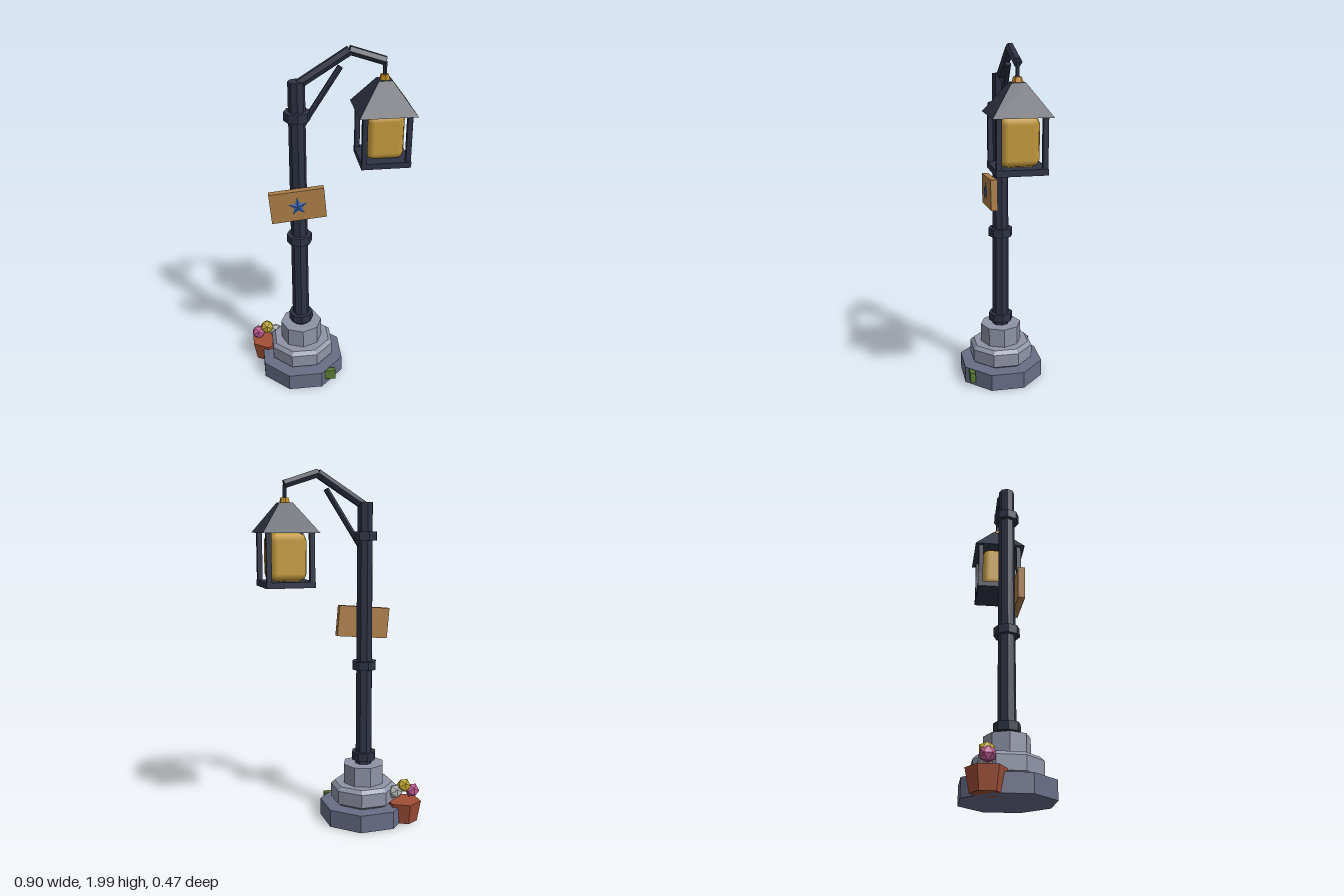
import * as THREE from 'three';
import { RoundedBoxGeometry } from 'three/addons/geometries/RoundedBoxGeometry.js';

const material = (color, flatShading = true) => new THREE.MeshStandardMaterial({ color, flatShading });
const IRON = material(0x2e3344);
const ROOF = material(0x333848);
const BASE_STONE = material(0x686e86);
const STONE = material(0x8f94a6);
const GOLD = material(0xc08a22);
const GLASS = material(0xc49a3c, false);
const WOOD = material(0xad7e48);
const BLUE = material(0x3560ae);
const CLAY = material(0xa04e36);
const MOSS = material(0x587a34);

const POST_X = -0.157;
const LANTERN_X = 0.299;

function add(parent, name, geometry, mat, x = 0, y = 0, z = 0) {
  const mesh = new THREE.Mesh(geometry, mat);
  mesh.name = name;
  mesh.position.set(x, y, z);
  parent.add(mesh);
  return mesh;
}

// Straight six-sided bar between two points in the x-y plane
function bar(parent, name, [x1, y1], [x2, y2], radius) {
  const length = Math.hypot(x2 - x1, y2 - y1);
  const mesh = add(parent, name, new THREE.CylinderGeometry(radius, radius, length, 6), IRON, (x1 + x2) / 2, (y1 + y2) / 2);
  mesh.rotation.z = Math.atan2(y2 - y1, x2 - x1) - Math.PI / 2;
}

// Five-pointed star, raised in the middle on both sides
function starGeometry(outer, inner, depth) {
  const rim = (i) => {
    const r = i % 2 ? inner : outer;
    const a = Math.PI / 2 + (i * Math.PI) / 5;
    return [r * Math.cos(a), r * Math.sin(a), 0];
  };
  const positions = [];
  for (let i = 0; i < 10; i++) {
    positions.push(...rim(i), ...rim(i + 1), 0, 0, depth);
    positions.push(...rim(i + 1), ...rim(i), 0, 0, -depth);
  }
  const geometry = new THREE.BufferGeometry();
  geometry.setAttribute('position', new THREE.Float32BufferAttribute(positions, 3));
  geometry.computeVertexNormals();
  return geometry;
}

function createPedestal() {
  const group = new THREE.Group();
  group.name = 'pedestal';
  group.position.x = POST_X;

  const foot = add(group, 'footStone', new THREE.CylinderGeometry(0.254, 0.254, 0.1, 8), BASE_STONE, 0, 0.05);
  foot.rotation.y = Math.PI / 8;

  // Bevelled middle stone
  const profile = [[0, 0.098], [0.157, 0.098], [0.192, 0.12], [0.192, 0.197], [0.17, 0.218], [0, 0.218]];
  const points = profile.map(([r, y]) => new THREE.Vector2(r, y));
  add(group, 'middleStone', new THREE.LatheGeometry(points, 8, Math.PI / 8), STONE);

  add(group, 'topStone', new THREE.CylinderGeometry(0.121, 0.121, 0.116, 8), STONE, 0, 0.272);
  add(group, 'mossPatch', new THREE.BoxGeometry(0.062, 0.062, 0.03), MOSS, 0.15, 0.066, 0.2);
  return group;
}

function createPost() {
  const group = new THREE.Group();
  group.name = 'post';
  add(group, 'shaft', new THREE.CylinderGeometry(0.045, 0.049, 1.5, 8), IRON, POST_X, 1.073);
  for (const y of [0.377, 0.912, 1.64]) {
    add(group, 'collar', new THREE.CylinderGeometry(0.071, 0.071, 0.048, 8), IRON, POST_X, y);
  }
  // Bent arm, brace and hook
  bar(group, 'armRise', [-0.145, 1.808], [0.115, 1.972], 0.026);
  bar(group, 'armDrop', [0.112, 1.974], [0.3, 1.912], 0.025);
  bar(group, 'brace', [-0.145, 1.56], [0.068, 1.89], 0.016);
  bar(group, 'hook', [LANTERN_X, 1.83], [LANTERN_X, 1.91], 0.011);
  return group;
}

function createLantern() {
  const group = new THREE.Group();
  group.name = 'lantern';
  group.position.x = LANTERN_X;

  add(group, 'finial', new THREE.CylinderGeometry(0.022, 0.03, 0.03, 6), GOLD, 0, 1.828);
  const roof = add(group, 'roof', new THREE.CylinderGeometry(0.036 * Math.SQRT2, 0.153 * Math.SQRT2, 0.158, 4), ROOF, 0, 1.737);
  roof.rotation.y = Math.PI / 4;
  add(group, 'floor', new THREE.BoxGeometry(0.266, 0.032, 0.266), IRON, 0, 1.386);
  for (const x of [-1, 1]) {
    for (const z of [-1, 1]) {
      add(group, 'cornerPost', new THREE.BoxGeometry(0.027, 0.262, 0.027), IRON, x * 0.117, 1.53, z * 0.117);
    }
  }
  add(group, 'glass', new RoundedBoxGeometry(0.204, 0.256, 0.204, 1, 0.04), GLASS, 0, 1.53);
  return group;
}

function createSign() {
  const group = new THREE.Group();
  group.name = 'sign';
  group.position.set(-0.168, 1.152, 0.061);
  group.rotation.z = 0.087;
  add(group, 'board', new THREE.BoxGeometry(0.302, 0.175, 0.038), WOOD);
  add(group, 'star', starGeometry(0.056, 0.023, 0.007), BLUE, 0, 0, 0.024);
  return group;
}

function createFlowerPot() {
  const group = new THREE.Group();
  group.name = 'flowerPot';
  group.position.set(-0.362, 0, -0.122);
  add(group, 'pot', new THREE.CylinderGeometry(0.102, 0.08, 0.12, 6), CLAY, 0, 0.06);
  const blooms = [[-0.053, 0.172, 0xc25c96], [0, 0.206, 0xbfa632], [0.053, 0.175, 0xb4b4b4]];
  for (const [x, y, color] of blooms) {
    add(group, 'bloom', new THREE.IcosahedronGeometry(0.043), material(color), x, y);
  }
  return group;
}

export function createModel() {
  const model = new THREE.Group();
  model.name = 'streetLamp';
  model.add(createPedestal(), createPost(), createLantern(), createSign(), createFlowerPot());
  return model;
}
